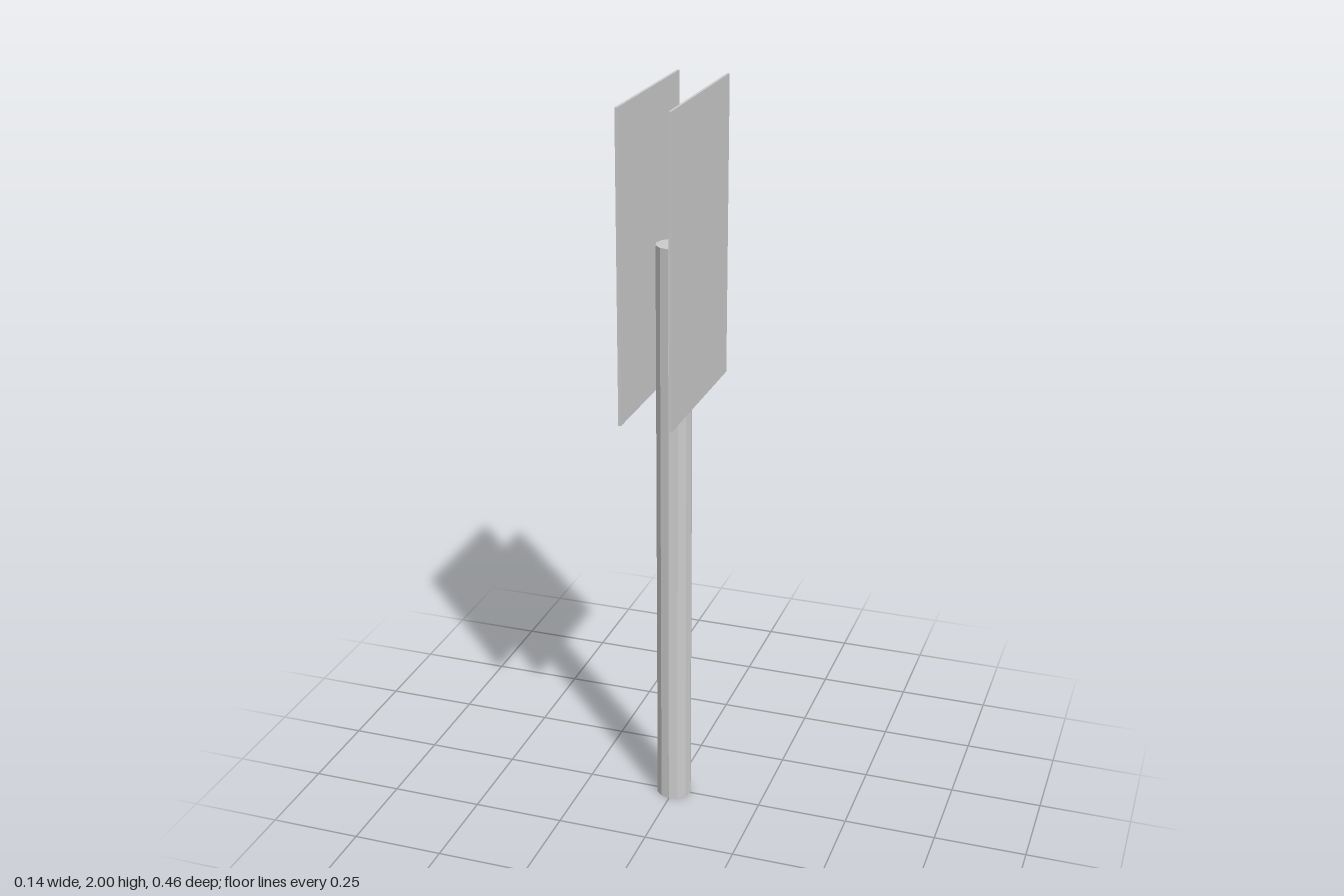
import * as THREE from 'three';

export function createModel() {
  const group = new THREE.Group();
  const material = new THREE.MeshStandardMaterial({ color: 0xcccccc, flatShading: true });

  // Twelve-sided post
  const poleHeight = 1.61;
  const pole = new THREE.Mesh(new THREE.CylinderGeometry(0.048, 0.048, poleHeight, 12), material);
  pole.name = 'pole';
  pole.position.y = poleHeight / 2;
  group.add(pole);

  // Two thin sign panels, one on each side of the post
  const bottom = 1.196, top = 2;
  const panelGeometry = new THREE.BoxGeometry(0.007, top - bottom, 0.46);
  for (const [name, side] of [['leftPanel', 1], ['rightPanel', -1]]) {
    const panel = new THREE.Mesh(panelGeometry, material);
    panel.name = name;
    panel.position.set(side * 0.067, (top + bottom) / 2, 0);
    group.add(panel);
  }

  return group;
}
